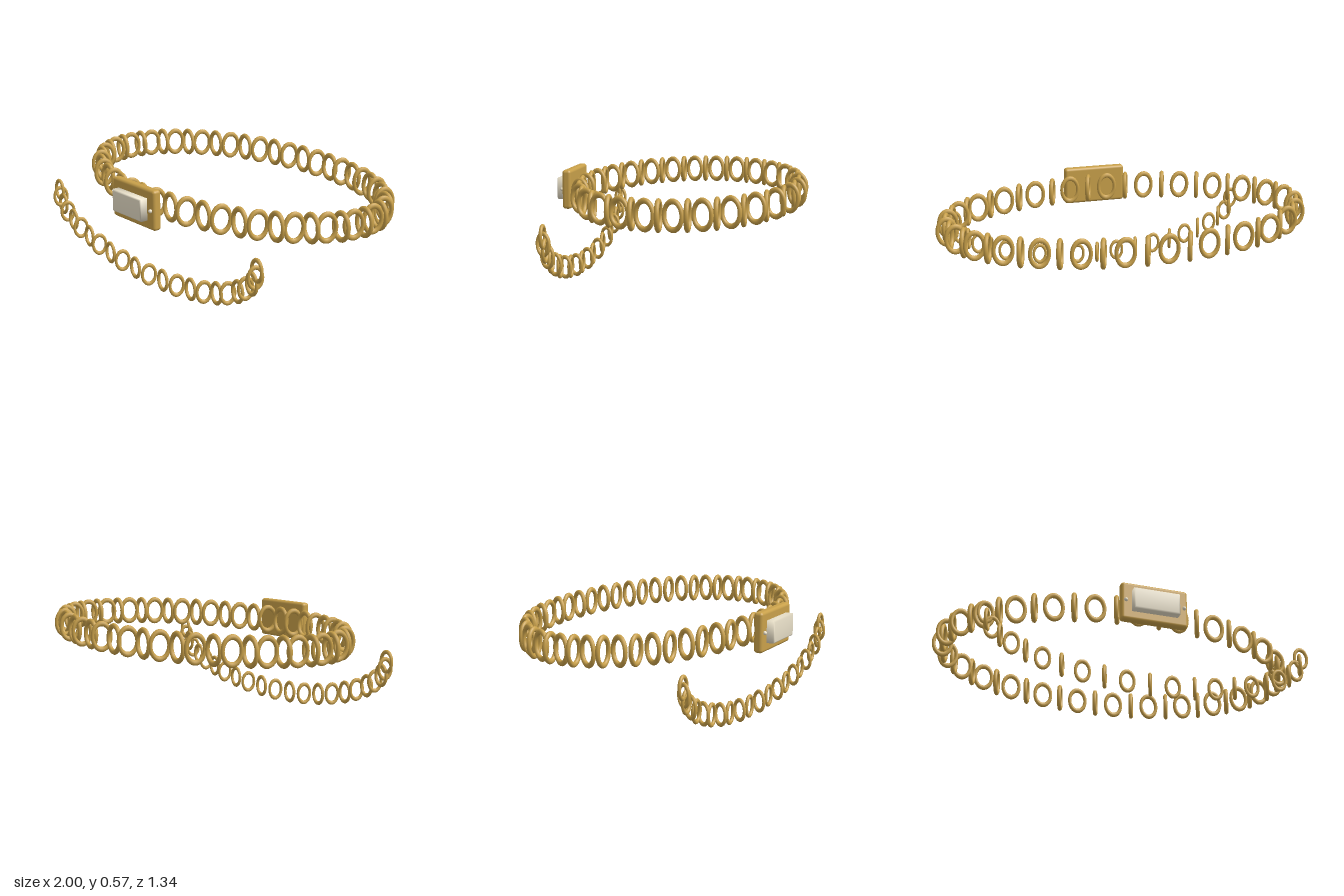
import * as THREE from 'three';
import { RoundedBoxGeometry } from 'three/addons/geometries/RoundedBoxGeometry.js';

const gold = new THREE.MeshStandardMaterial({ color: 0xc8a04a });
const ivory = new THREE.MeshStandardMaterial({ color: 0xe8dfc8 });
const CX = -0.004; // buckle and chains share this centre line
const BELT_Y = 0.471;
const TURN = 1.2; // every second link is turned this far about y

// Oval link: a torus squeezed in x and stretched in y
function linkGeometry(radius, tube, sx, sy) {
  const geo = new THREE.TorusGeometry(radius, tube, 10, 32);
  geo.scale(sx, sy, 1);
  return geo;
}

function addLink(parent, geo, name, x, y, z, turned) {
  const link = new THREE.Mesh(geo, gold);
  link.name = name;
  link.position.set(x, y, z);
  if (turned) link.rotation.y = TURN;
  parent.add(link);
}

// Rectangular stone: stacked rectangles closed by a slightly raised centre
function stoneGeometry(w, h, z0, z1) {
  const bevel = 0.008;
  const rings = [[0, z0], [0, z1 - bevel], [bevel, z1 - 0.002]];
  const pos = [];
  const index = [];
  for (const [inset, z] of rings) {
    for (const [sx, sy] of [[-1, -1], [1, -1], [1, 1], [-1, 1]]) {
      pos.push(sx * (w / 2 - inset), sy * (h / 2 - inset), z);
    }
  }
  pos.push(0, 0, z1 + 0.002);
  const last = (rings.length - 1) * 4;
  for (let i = 0; i < 4; i++) {
    const j = (i + 1) % 4;
    for (let r = 0; r < last; r += 4) {
      index.push(r + i, r + j, r + 4 + j, r + i, r + 4 + j, r + 4 + i);
    }
    index.push(last + i, last + j, last + 4);
  }
  const geo = new THREE.BufferGeometry();
  geo.setAttribute('position', new THREE.Float32BufferAttribute(pos, 3));
  geo.setIndex(index);
  geo.computeVertexNormals();
  return geo;
}

export function createModel() {
  const model = new THREE.Group();
  model.name = 'chainBelt';

  // Waist chain: links around an ellipse
  const waist = new THREE.Group();
  waist.name = 'waistChain';
  const bigLink = linkGeometry(0.056, 0.0118, 0.84, 1.18);
  const count = 54;
  for (let i = 0; i < count; i++) {
    const a = (i / count) * Math.PI * 2;
    addLink(waist, bigLink, 'waistLink', CX + 0.946 * Math.cos(a), BELT_Y,
      -0.048 + 0.568 * Math.sin(a), i % 2 === 1);
  }
  model.add(waist);

  // Hanging chain: smaller links along a half ellipse in front
  const drape = new THREE.Group();
  drape.name = 'hangingChain';
  const smallLink = linkGeometry(0.042, 0.009, 0.84, 1.22);
  const steps = 22;
  for (let i = 0; i <= steps; i++) {
    const a = (i / steps) * Math.PI;
    addLink(drape, smallLink, 'hangingLink', CX + 0.83 * Math.cos(a),
      0.335 - 0.265 * Math.sin(a), 0.534, i % 2 === 1);
  }
  model.add(drape);

  // Buckle: plate, stone and two rivets
  const buckle = new THREE.Group();
  buckle.name = 'buckle';
  buckle.position.set(CX, BELT_Y, 0);
  const plate = new THREE.Mesh(new RoundedBoxGeometry(0.35, 0.208, 0.048, 4, 0.016), gold);
  plate.name = 'bucklePlate';
  plate.position.z = 0.599;
  const stone = new THREE.Mesh(stoneGeometry(0.24, 0.115, 0.61, 0.668), ivory);
  stone.name = 'buckleStone';
  buckle.add(plate, stone);
  for (const side of [-1, 1]) {
    const rivet = new THREE.Mesh(new THREE.SphereGeometry(0.01, 16, 12), ivory);
    rivet.name = 'buckleRivet';
    rivet.position.set(side * 0.153, 0, 0.629);
    buckle.add(rivet);
  }
  model.add(buckle);

  return model;
}
